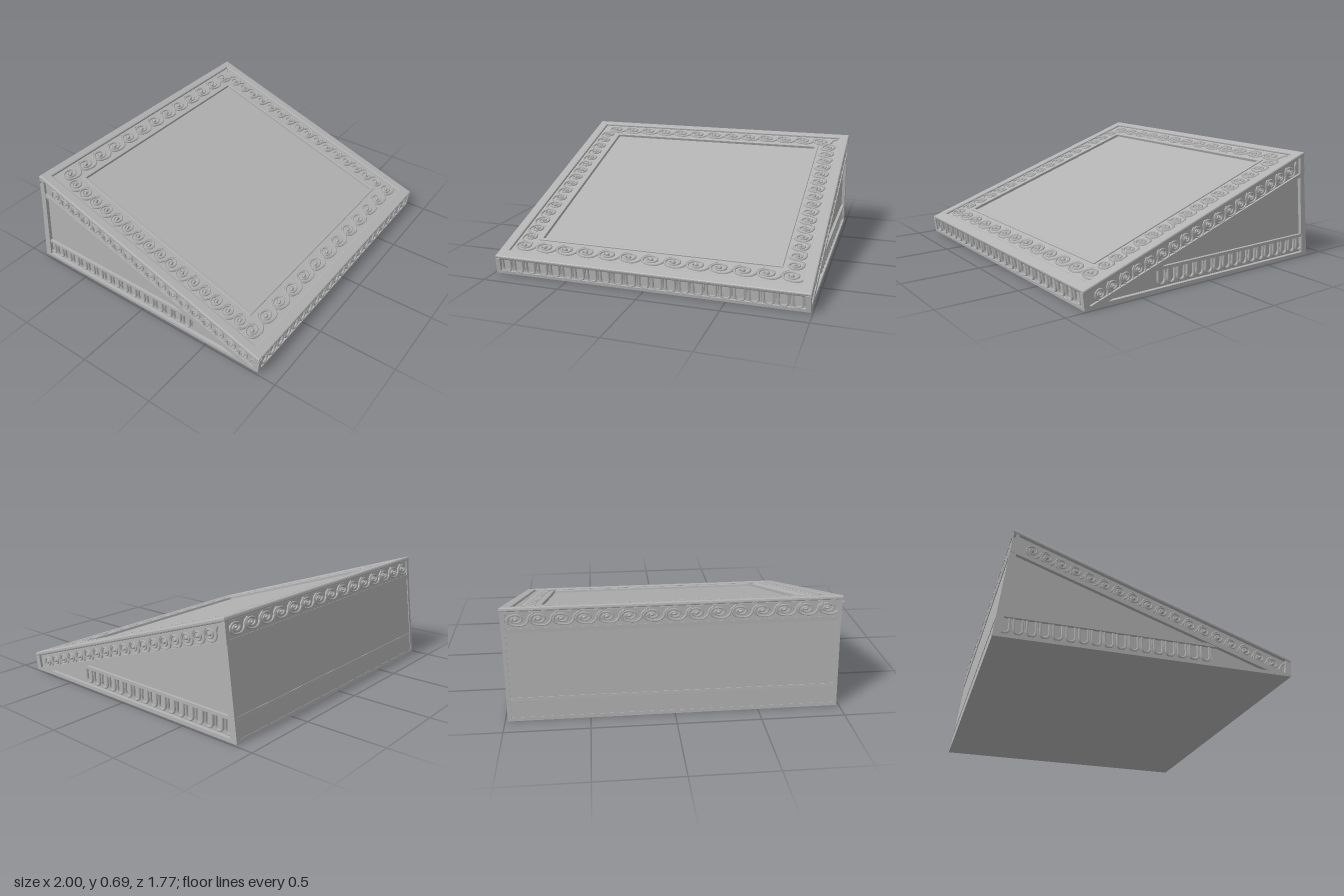
import * as THREE from 'three';
import { mergeGeometries } from 'three/addons/utils/BufferGeometryUtils.js';

const V = (x, y, z) => new THREE.Vector3(x, y, z);
const TILT = Math.atan2(0.575, 1.685);
const MID = V(0, 0.4025, 0.0425);
const X_AXIS = V(1, 0, 0);
// Point on the sloping top: across, along (positive to the front), out of the surface
const onSlope = (x, along, out = 0) => V(x, out, along).applyAxisAngle(X_AXIS, TILT).add(MID);

// Solid with a [z, y] profile, running across x
function prism(points, half, x = 0) {
  const shape = new THREE.Shape(points.map(([z, y]) => new THREE.Vector2(z, y)));
  return new THREE.ExtrudeGeometry(shape, { depth: half * 2, bevelEnabled: false })
    .rotateY(-Math.PI / 2).translate(half + x, 0, 0);
}

// Rectangular frame lying on the slope; limits are [halfX, backZ, frontZ]
function frame(outer, inner, low, high, bevel = 0) {
  const loop = ([x, b, f]) => [[-x, -f], [x, -f], [x, -b], [-x, -b]].map(p => new THREE.Vector2(...p));
  const shape = new THREE.Shape(loop(outer));
  shape.holes.push(new THREE.Path(loop(inner).reverse()));
  return new THREE.ExtrudeGeometry(shape, {
    depth: high - low - 2 * bevel, bevelEnabled: bevel > 0, bevelThickness: bevel,
    bevelSize: bevel, bevelOffset: -bevel, bevelSegments: 2,
  }).rotateX(-Math.PI / 2).translate(0, low + bevel, 0).rotateX(TILT).translate(MID.x, MID.y, MID.z);
}

// Running scroll, one unit wide, with a tail that sweeps over the next one
function scrollGeometry() {
  const pts = [];
  for (let i = 0; i <= 14; i++) {
    const t = i / 14, a = -Math.PI / 2 - (1 - t) * Math.PI * 3.3, r = 0.1 + 0.32 * t;
    pts.push(V(Math.cos(a) * r, Math.sin(a) * r, 0));
  }
  pts.push(V(0.3, -0.42, 0), V(0.52, -0.2, 0), V(0.62, 0.2, 0), V(0.82, 0.42, 0));
  const tube = new THREE.TubeGeometry(new THREE.CatmullRomCurve3(pts), 36, 0.065, 5);
  const bead = new THREE.SphereGeometry(0.11, 8, 6);
  return mergeGeometries([tube, bead]);
}

// Upright tongue inside a U-shaped border
function tongueGeometry() {
  const pts = [V(-0.34, 0.5, 0), V(-0.34, 0, 0)];
  for (let i = 0; i <= 6; i++) {
    const a = Math.PI + (i / 6) * Math.PI;
    pts.push(V(Math.cos(a) * 0.34, -0.2 + Math.sin(a) * 0.28, 0));
  }
  pts.push(V(0.34, 0, 0), V(0.34, 0.5, 0));
  const border = new THREE.TubeGeometry(new THREE.CatmullRomCurve3(pts), 24, 0.09, 5);
  const dart = new THREE.CylinderGeometry(0.06, 0.02, 0.8, 5).translate(0.5, 0.08, 0);
  return mergeGeometries([border, dart]);
}

// Repeat an ornament from a to b on a face with the given normal
function row(unit, a, b, count, normal, width, height, depth) {
  const dir = b.clone().sub(a).normalize();
  const up = normal.clone().cross(dir).normalize();
  const out = dir.clone().cross(up);
  const copies = [];
  for (let i = 0; i < count; i++) {
    const m = new THREE.Matrix4().makeBasis(dir, up, out)
      .scale(V(width, height, depth))
      .setPosition(a.clone().lerp(b, i / (count - 1)));
    copies.push(unit.clone().applyMatrix4(m));
  }
  return mergeGeometries(copies);
}

export function createModel() {
  const model = new THREE.Group();
  model.name = 'slopingStand';
  const stone = new THREE.MeshStandardMaterial({ color: 0xb2b2b2 });
  stone.name = 'greyStone';
  const add = (name, geometry) => {
    const mesh = new THREE.Mesh(geometry, stone);
    mesh.name = name;
    model.add(mesh);
  };
  const scroll = scrollGeometry(), tongue = tongueGeometry();

  // Wedge body with plain back and recessed sides
  add('body', prism([[0.85, 0], [0.8, 0.08], [-0.805, 0.6], [-0.883, 0]], 0.962));
  add('plinth', prism([[0.86, 0], [0.76, 0.022], [-0.882, 0.022], [-0.885, 0]], 0.985));
  add('plinthLedge', prism([[0.43, 0.126], [0.38, 0.145], [-0.867, 0.145], [-0.87, 0.126]], 0.98));
  for (const s of [-1, 1]) {
    add('backCornerPost', prism([[-0.84, 0.01], [-0.78, 0.56], [-0.816, 0.56], [-0.885, 0.01]], 0.012, s * 0.972));
  }

  // Sloping lid: bed, reading panel and mouldings
  const top = 0.03;
  const a = onSlope(0, 0.872, -top), b = onSlope(0, -0.876, -top);
  add('lid', prism([[a.z, a.y], [0.858, 0], [0.8, 0], [-0.806, 0.545], [b.z, b.y]], 0.972));
  add('frameBed', frame([0.972, -0.875, 0.875], [0.785, -0.715, 0.67], -0.032, -0.014));
  add('outerRim', frame([0.99, -0.89, 0.89], [0.925, -0.84, 0.815], -0.026, 0, 0.008));
  add('innerLip', frame([0.79, -0.72, 0.675], [0.765, -0.7, 0.655], -0.03, -0.006, 0.004));
  const panel = new THREE.BoxGeometry(1.55, 0.006, 1.37).translate(0, -0.028, -0.022);
  add('readingPanel', panel.rotateX(TILT).translate(MID.x, MID.y, MID.z));
  // Lower rail of the lid, along both sides and across the back
  add('lidLowerRail', prism([[0.86, 0], [0.79, 0], [-0.818, 0.538], [-0.816, 0.563], [0.86, 0.012]], 0.986));
  // Front rails and corner stops
  add('frontBottomRail', prism([[0.872, 0], [0.82, 0], [0.82, 0.018], [0.874, 0.018]], 0.985));
  for (const s of [-1, 1]) {
    add('frontCorner', prism([[0.873, 0.005], [0.835, 0.01], [0.85, 0.11], [0.884, 0.1]], 0.014, s * 0.973));
    add('backCorner', prism([[-0.78, 0.54], [-0.77, 0.665], [-0.803, 0.675], [-0.818, 0.545]], 0.014, s * 0.973));
  }

  // Scrolls around the reading panel
  const slopeUp = onSlope(0, 0, 1).sub(MID);
  const bed = -0.014;
  add('frontScrolls', row(scroll, onSlope(-0.855, 0.742, bed), onSlope(0.855, 0.742, bed), 13, slopeUp, 0.142, 0.105, 0.16));
  add('backScrolls', row(scroll, onSlope(-0.82, -0.785, bed), onSlope(0.8, -0.785, bed), 13, slopeUp, 0.135, 0.1, 0.16));
  for (const s of [-1, 1]) {
    add('sideTopScrolls', row(scroll, onSlope(s * 0.857, s < 0 ? -0.7 : 0.65, bed),
      onSlope(s * 0.857, s < 0 ? 0.65 : -0.7, bed), 16, slopeUp, 0.09, 0.115, 0.16));
  }

  // Scrolls on the edges of the lid
  for (const s of [-1, 1]) {
    const ends = [V(s * 0.972, 0.072, 0.765), V(s * 0.972, 0.57, -0.69)];
    if (s < 0) ends.reverse();
    add('lidSideScrolls', row(scroll, ends[0], ends[1], 18, V(s, 0, 0), 0.088, 0.088, 0.16));
  }
  add('lidBackScrolls', row(scroll, V(0.9, 0.615, -0.802), V(-0.9, 0.615, -0.802), 15,
    V(0, 0.12, -1).normalize(), 0.125, 0.085, 0.15));

  // Tongue bands along the front and the foot of each side
  add('frontTongues', row(tongue, V(-0.915, 0.057, 0.866), V(0.915, 0.057, 0.866), 23,
    V(0, -0.13, 1).normalize(), 0.08, 0.08, 0.11));
  for (const s of [-1, 1]) {
    const ends = [V(s * 0.965, 0.08, 0.34), V(s * 0.965, 0.08, -0.82)];
    if (s < 0) ends.reverse();
    add('sideTongues', row(tongue, ends[0], ends[1], 17, V(s, 0, 0), 0.072, 0.09, 0.13));
  }
  return model;
}
